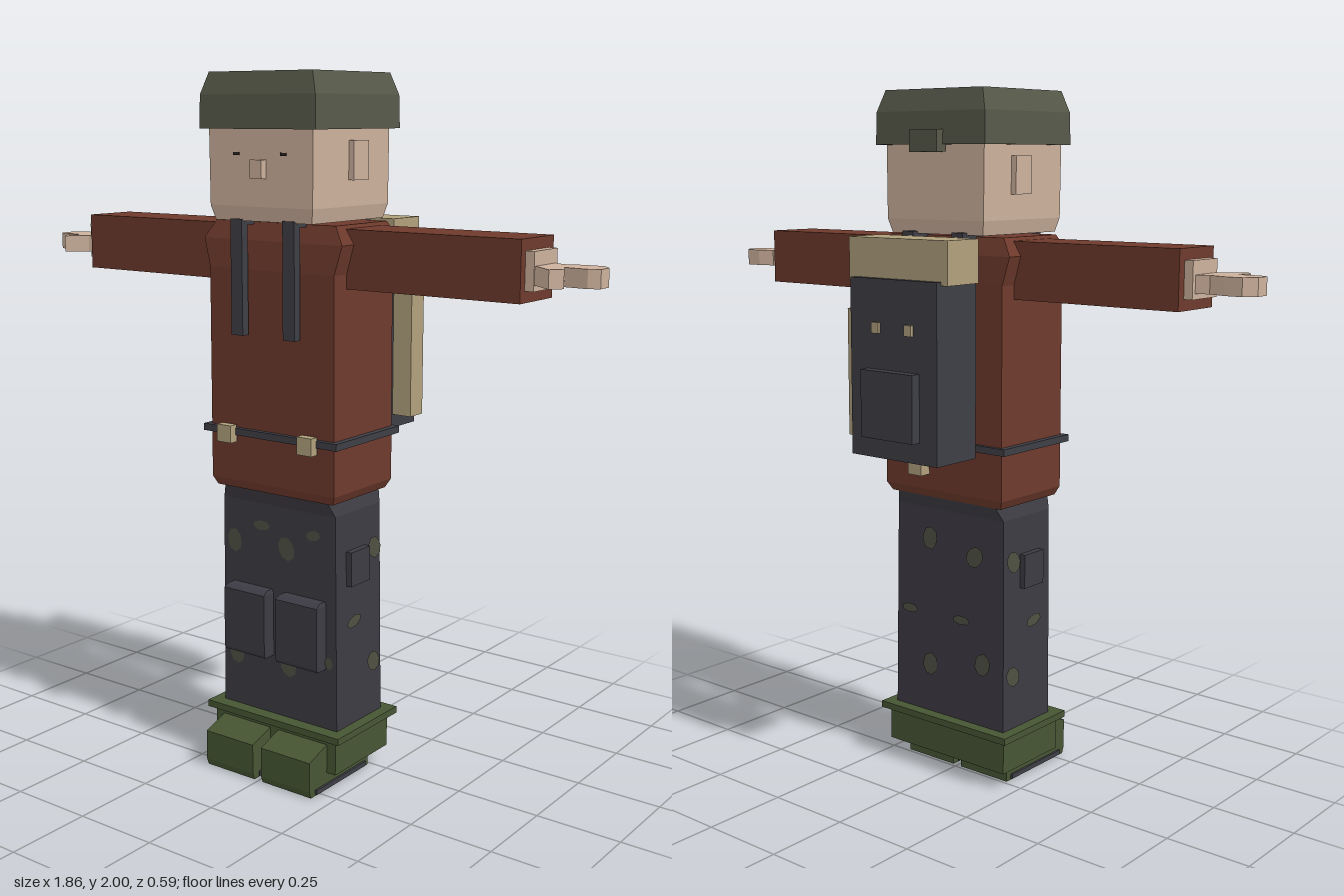
import * as THREE from 'three';

const mat = (name, color) => {
  const m = new THREE.MeshStandardMaterial({ color });
  m.name = name;
  return m;
};

export function createModel() {
  const root = new THREE.Group();
  root.name = 'soldier';
  const skin = mat('skin', 0xcdb19c), jacket = mat('jacket rust', 0x6e3a2c);
  const hatGreen = mat('hat olive', 0x57594a), trouser = mat('trouser grey', 0x3d3b43);
  const bootGreen = mat('boot green', 0x465533), tan = mat('canvas tan', 0xb0a07c);
  const webbing = mat('webbing grey', 0x3e3e46), camo = mat('camouflage olive', 0x4f5043);
  const eyeDark = mat('eye dark', 0x2a2422);

  const add = (name, geometry, material) => {
    const mesh = new THREE.Mesh(geometry, material);
    mesh.name = name;
    root.add(mesh);
    return mesh;
  };
  // box from its limits on each axis
  const box = (name, material, x0, x1, y0, y1, z0, z1) => {
    const g = new THREE.BoxGeometry(x1 - x0, y1 - y0, z1 - z0);
    g.translate((x0 + x1) / 2, (y0 + y1) / 2, (z0 + z1) / 2);
    return add(name, g, material);
  };
  // faceted solid through rectangular rings [y, x0, x1, z0, z1], bottom to top
  const stack = (name, material, rings) => {
    const pos = [];
    const corners = rings.map(([y, x0, x1, z0, z1]) =>
      [[x0, y, z1], [x1, y, z1], [x1, y, z0], [x0, y, z0]]);
    const quad = (a, b, c, d) => [a, b, c, a, c, d].forEach(p => pos.push(...p));
    for (let r = 0; r < corners.length - 1; r++) {
      const lo = corners[r], hi = corners[r + 1];
      for (let i = 0; i < 4; i++) {
        const j = (i + 1) % 4;
        quad(lo[i], lo[j], hi[j], hi[i]);
      }
    }
    const b = corners[0], t = corners[corners.length - 1];
    quad(t[0], t[1], t[2], t[3]);
    quad(b[3], b[2], b[1], b[0]);
    const g = new THREE.BufferGeometry();
    g.setAttribute('position', new THREE.Float32BufferAttribute(pos, 3));
    g.computeVertexNormals();
    return add(name, g, material);
  };

  // head and hat
  stack('head', skin, [
    [1.605, -0.165, 0.165, -0.08, 0.25], [1.645, -0.175, 0.175, -0.09, 0.26],
    [1.86, -0.177, 0.177, -0.09, 0.26]]);
  box('nose', skin, -0.02, 0.02, 1.72, 1.77, 0.25, 0.28);
  stack('hat', hatGreen, [
    [1.85, -0.197, 0.197, -0.113, 0.277], [1.94, -0.195, 0.195, -0.111, 0.275],
    [2, -0.175, 0.175, -0.095, 0.26]]);
  box('hatBackTab', hatGreen, -0.05, 0.05, 1.83, 1.89, -0.138, -0.1);

  // torso and belt
  stack('jacketBody', jacket, [
    [0.84, -0.205, 0.205, -0.045, 0.21], [0.865, -0.217, 0.217, -0.058, 0.22],
    [1.47, -0.215, 0.215, -0.058, 0.22], [1.55, -0.238, 0.238, -0.055, 0.215],
    [1.6, -0.206, 0.206, -0.04, 0.2]]);
  box('belt', webbing, -0.235, 0.235, 1.0, 1.02, -0.07, 0.235);
  box('beltBackPouch', tan, 0.05, 0.1, 0.91, 0.99, -0.095, -0.05);

  // trousers and boot tops
  stack('trousers', trouser, [
    [0.16, -0.207, 0.207, -0.03, 0.19], [0.8, -0.2, 0.2, -0.025, 0.19],
    [0.845, -0.182, 0.182, -0.045, 0.205]]);
  box('bootUpper', bootGreen, -0.22, 0.22, 0.05, 0.155, -0.045, 0.215);
  box('bootRim', bootGreen, -0.24, 0.24, 0.15, 0.17, -0.065, 0.23);

  // parts repeated on both sides
  for (const s of [1, -1]) {
    const side = s > 0 ? 'left' : 'right';
    const pair = (name, material, x0, x1, ...yz) =>
      box(side + name, material, Math.min(s * x0, s * x1), Math.max(s * x0, s * x1), ...yz);

    pair('Ear', skin, 0.17, 0.193, 1.715, 1.82, 0.03, 0.1);
    pair('Eye', eyeDark, 0.07, 0.09, 1.781, 1.789, 0.257, 0.263);
    pair('Sleeve', jacket, 0.2, 0.74, 1.43, 1.59, -0.005, 0.162);
    pair('Wrist', skin, 0.73, 0.765, 1.46, 1.56, 0.02, 0.14);

    // flat mitten with the thumb pointing forward
    const outline = [[0.74, 0.025], [0.8, 0.045], [0.85, 0.03], [0.9, 0.03], [0.928, 0.06],
      [0.928, 0.105], [0.9, 0.12], [0.835, 0.115], [0.855, 0.155], [0.83, 0.187], [0.775, 0.14], [0.74, 0.13]];
    const shape = new THREE.Shape(outline.map(([x, z]) => new THREE.Vector2(s * x, -z)));
    const hand = new THREE.ExtrudeGeometry(shape, { depth: 0.048, bevelEnabled: false });
    hand.rotateX(-Math.PI / 2).translate(0, 1.475, 0);
    add(side + 'Hand', hand, skin);

    // shoulder strap: front drop and run over the shoulder
    pair('StrapFront', webbing, 0.07, 0.11, 1.29, 1.61, 0.23, 0.255);
    pair('StrapTop', webbing, 0.07, 0.11, 1.593, 1.612, -0.1, 0.245);
    pair('Buckle', tan, 0.117, 0.167, 0.98, 1.03, 0.23, 0.257);

    const limits = (a, b) => (s > 0 ? [a, b] : [-b, -a]);
    stack(side + 'KneePad', trouser, [
      [0.35, ...limits(0.02, 0.168), 0.18, 0.228], [0.36, ...limits(0.02, 0.168), 0.18, 0.234],
      [0.54, ...limits(0.02, 0.168), 0.18, 0.234], [0.55, ...limits(0.024, 0.164), 0.18, 0.215]]);
    pair('ThighPocket', trouser, 0.19, 0.22, 0.59, 0.69, 0.05, 0.14);

    // foot with sloping toe, and a dark welt at the sole
    const foot = new THREE.Shape([[0.01, 0], [0.29, 0], [0.297, 0.02], [0.297, 0.108], [0.21, 0.137], [0.01, 0.137]]
      .map(([z, y]) => new THREE.Vector2(-z, y)));
    const footGeo = new THREE.ExtrudeGeometry(foot, { depth: 0.175, bevelEnabled: false });
    footGeo.rotateY(Math.PI / 2).translate(s > 0 ? 0.015 : -0.19, 0, 0);
    add(side + 'Foot', footGeo, bootGreen);
    pair('SoleWelt', webbing, 0.01, 0.196, 0.004, 0.018, 0.03, 0.27);
    pair('PackStud', tan, 0.047, 0.073, 1.34, 1.37, -0.274, -0.26);
  }

  // backpack
  box('packBody', webbing, -0.158, 0.158, 0.99, 1.49, -0.265, -0.1);
  box('packPocket', webbing, -0.095, 0.095, 1.05, 1.24, -0.295, -0.26);
  box('packTopRoll', tan, -0.18, 0.178, 1.48, 1.6, -0.247, -0.117);
  box('packSideRoll', tan, 0.15, 0.22, 1.03, 1.395, -0.213, -0.15);

  // camouflage patches: [across, y, half width, half height]
  const patch = (name, [u, y, w, h], place) => {
    const g = new THREE.CircleGeometry(1, 9);
    const p = g.attributes.position;
    for (let i = 1; i < p.count; i++) {
      const k = 0.88 + 0.12 * Math.cos(i * 4 * Math.PI / 9 + u * 30);
      p.setXY(i, p.getX(i) * k * w, p.getY(i) * k * h);
    }
    place(add(name, g, camo), u, y);
  };
  const front = [[-0.16, 0.675, 0.033, 0.036], [0.03, 0.68, 0.036, 0.036], [-0.06, 0.735, 0.03, 0.018],
    [0.125, 0.735, 0.026, 0.018], [-0.155, 0.33, 0.034, 0.034], [0.035, 0.33, 0.036, 0.034], [0.18, 0.37, 0.014, 0.022]];
  const back = [[0.07, 0.71, 0.036, 0.036], [-0.1, 0.68, 0.036, 0.036], [0.15, 0.48, 0.032, 0.018],
    [-0.05, 0.48, 0.032, 0.018], [0.07, 0.32, 0.036, 0.036], [-0.13, 0.36, 0.036, 0.036]];
  const sides = [[0.012, 0.675, 0.036, 0.036], [0.11, 0.48, 0.038, 0.02], [0.012, 0.33, 0.036, 0.034]];
  front.forEach(f => patch('frontPatch', f, (m, u, y) => m.position.set(u, y, 0.193)));
  back.forEach(f => patch('backPatch', f, (m, u, y) => {
    m.position.set(u, y, -0.033);
    m.rotation.y = Math.PI;
  }));
  for (const s of [1, -1]) {
    sides.forEach(f => patch('sidePatch', f, (m, u, y) => {
      m.position.set(s * 0.209, y, u);
      m.rotation.y = s * Math.PI / 2;
    }));
  }
  return root;
}
